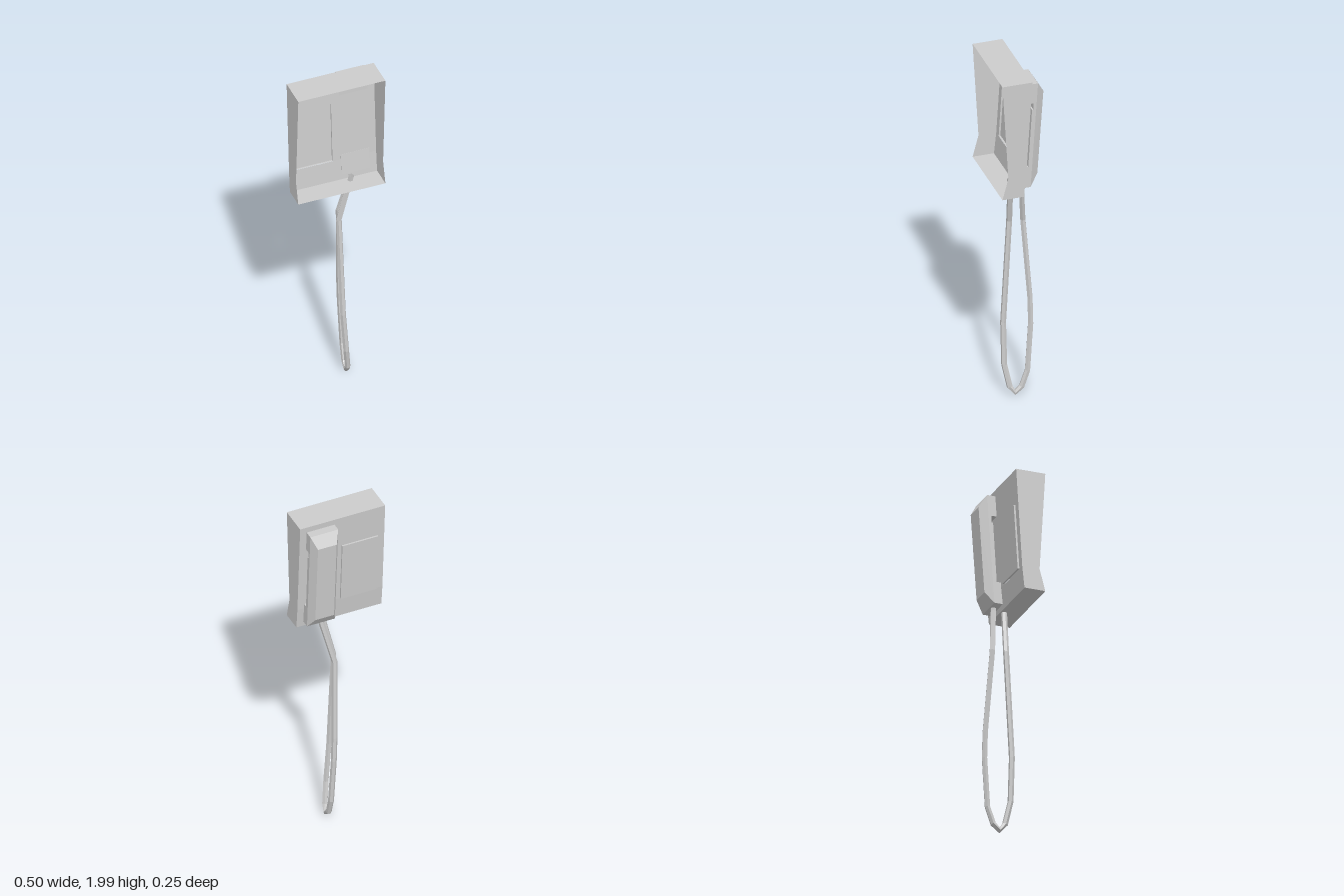
import * as THREE from 'three';
import { ConvexGeometry } from 'three/addons/geometries/ConvexGeometry.js';

const material = new THREE.MeshStandardMaterial({
  color: 0xcccccc, flatShading: true, side: THREE.DoubleSide,
});

function part(name, geometry) {
  const mesh = new THREE.Mesh(geometry, material);
  mesh.name = name;
  return mesh;
}

// Sheet surface made of four-cornered faces
function sheet(quads) {
  const points = quads.flatMap(([a, b, c, d]) => [a, b, c, a, c, d])
    .map((p) => new THREE.Vector3(...p));
  const geometry = new THREE.BufferGeometry().setFromPoints(points);
  geometry.computeVertexNormals();
  return geometry;
}

// Curve with straight runs between its points
class Polyline extends THREE.Curve {
  constructor(points) {
    super();
    this.points = points.map((p) => new THREE.Vector3(...p));
  }
  getPoint(t) {
    const n = this.points.length - 1;
    const i = Math.min(Math.floor(t * n), n - 1);
    return this.points[i].clone().lerp(this.points[i + 1], t * n - i);
  }
  getPointAt(t) { return this.getPoint(t); }
  getTangentAt(t) { return this.getTangent(t); }
}

// Housing rows: height, open edge z, panel z
const HALF = 0.25;
const rows = [[2, 0.125, -0.043], [1.435, 0.092, -0.008], [1.31, 0.125, 0.005]];
const panelZ = (y) => THREE.MathUtils.mapLinear(y, 2, 1.435, -0.043, -0.008);
const pad = { x0: -0.21, x1: 0, y0: 1.436, y1: 1.805, depth: 0.01 };

function housing() {
  const quads = [];
  const at = (x, y, d = 0) => [x, y, panelZ(y) - d];
  const rect = (x0, x1, y0, y1, d) =>
    quads.push([at(x0, y0, d), at(x0, y1, d), at(x1, y1, d), at(x1, y0, d)]);
  // Side walls
  for (const x of [-HALF, HALF]) {
    for (let i = 0; i < 2; i++) {
      const [y, f, b] = rows[i], [y2, f2, b2] = rows[i + 1];
      quads.push([[x, y, f], [x, y, b], [x, y2, b2], [x, y2, f2]]);
    }
  }
  // Top and bottom walls
  for (const [y, f, b] of [rows[0], rows[2]]) {
    quads.push([[-HALF, y, f], [HALF, y, f], [HALF, y, b], [-HALF, y, b]]);
  }
  // Lower panel, then the upper panel around the keypad opening
  const [, [ym, , zm], [yb, , zb]] = rows;
  quads.push([[-HALF, ym, zm], [HALF, ym, zm], [HALF, yb, zb], [-HALF, yb, zb]]);
  rect(-HALF, HALF, pad.y1, 2);
  rect(-HALF, pad.x0, ym, pad.y1);
  rect(pad.x1, HALF, ym, pad.y1);
  return sheet(quads);
}

// Raised plate, hollow on its inner side
function keypad() {
  const { x0, x1, y0, y1, depth } = pad;
  const ring = (d) => [[x0, y0], [x1, y0], [x1, y1], [x0, y1]]
    .map(([x, y]) => [x, y, panelZ(y) - d]);
  const base = ring(0), face = ring(depth);
  const quads = [face];
  for (let i = 0; i < 4; i++) {
    const j = (i + 1) % 4;
    quads.push([base[i], base[j], face[j], face[i]]);
  }
  return sheet(quads);
}

// Handset body: C-shaped side outline (z, y) pushed across x
function handsetBody(x0, x1) {
  const outline = [
    [-0.035, 1.966], [-0.088, 1.966], [-0.046, 1.34], [0.005, 1.34],
    [-0.009, 1.465], [-0.033, 1.465], [-0.054, 1.81], [-0.062, 1.81],
    [-0.062, 1.848], [-0.031, 1.848],
  ];
  const shape = new THREE.Shape(outline.map(([z, y]) => new THREE.Vector2(-z, y)));
  const geometry = new THREE.ExtrudeGeometry(shape, { depth: x1 - x0, bevelEnabled: false });
  return geometry.rotateY(Math.PI / 2).translate(x0, 0, 0);
}

// Bevelled outer side of the handset
function handsetBack(x0, x1) {
  const inset = 0.027;
  const points = [];
  for (const [y, z, d] of [
    [1.966, -0.088, 0], [1.34, -0.046, 0], [1.9, -0.127, inset], [1.405, -0.093, inset],
  ]) points.push(new THREE.Vector3(x0 + d, y, z), new THREE.Vector3(x1 - d, y, z));
  return new ConvexGeometry(points);
}

// Hanging loop from the housing down and up to the handset
function cord() {
  const path = new Polyline([
    [0.092, 1.34, 0.03], [0.088, 1.31, 0.026], [0.028, 1.05, 0.013],
    [0.037, 0.44, 0.05], [0.055, 0.19, 0.05], [0.073, 0.06, 0.025],
    [0.078, 0.022, -0.003], [0.08, 0.055, -0.04], [0.082, 0.15, -0.072],
    [0.075, 0.43, -0.092], [0.07, 0.58, -0.09], [0.054, 1.06, -0.055],
    [0.116, 1.32, -0.025], [0.12, 1.36, -0.022],
  ]);
  return new THREE.TubeGeometry(path, path.points.length - 1, 0.016, 6);
}

export function createModel() {
  const model = new THREE.Group();
  model.name = 'wallPhone';
  const handset = new THREE.Group();
  handset.name = 'handset';
  handset.add(
    part('handsetBody', handsetBody(0.047, 0.211)),
    part('handsetBack', handsetBack(0.047, 0.211)),
  );
  model.add(part('housing', housing()), part('keypad', keypad()), handset, part('cord', cord()));
  return model;
}
